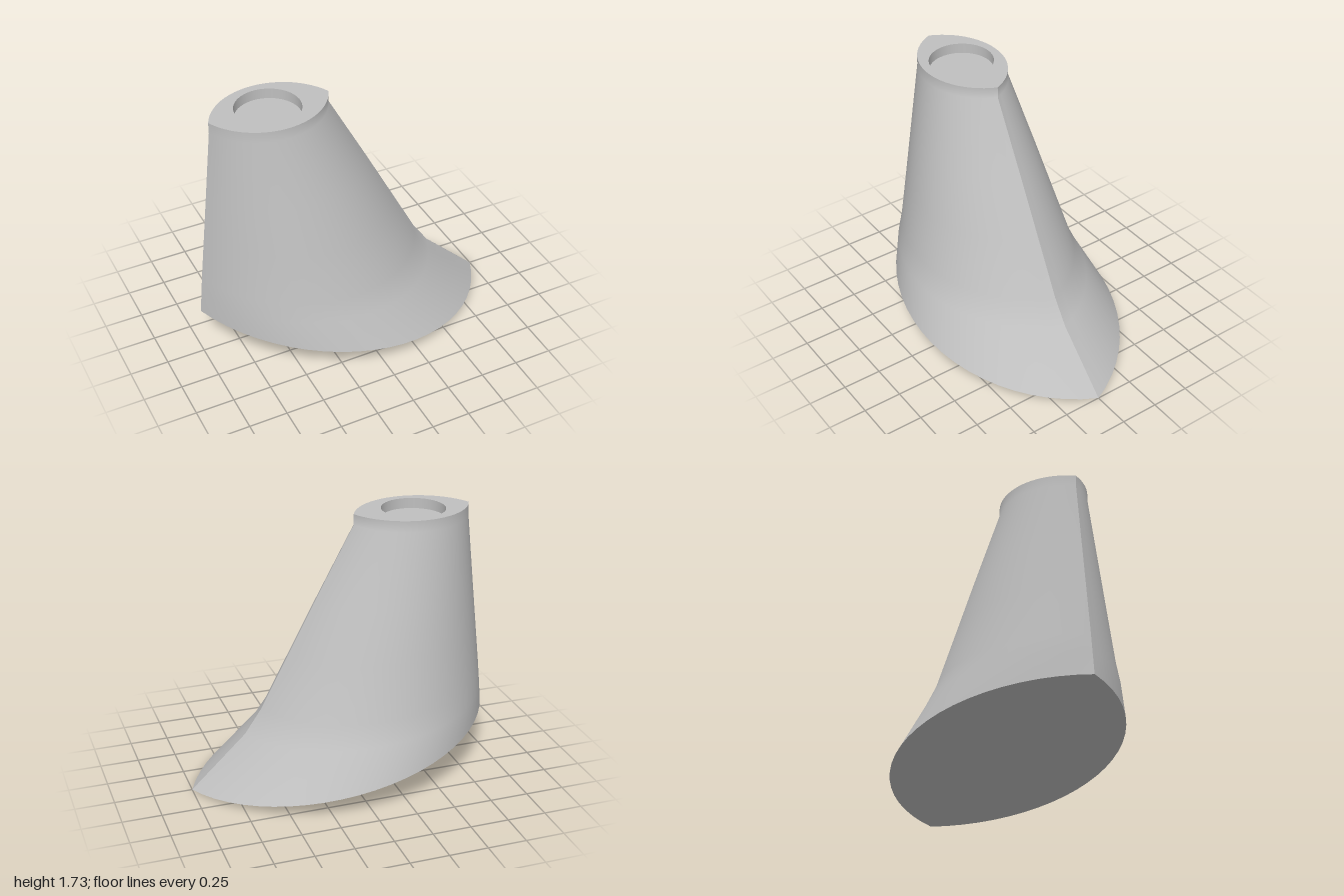
import * as THREE from 'three';

const SEGMENTS = 24;

// Sections from foot to rim: left end x, y, right end x, y, half depth
const SECTIONS = [
  [-1.0, 0.34, 1.0, 0.0, 0.67],
  [-0.985, 0.49, 0.64, 0.34, 0.572],
  [-0.975, 0.6, 0.53, 0.5, 0.52],
  [-0.94, 0.92, 0.35, 0.84, 0.442],
  [-0.905, 1.24, 0.17, 1.18, 0.365],
  [-0.86, 1.66, -0.09, 1.66, 0.257],
  [-0.86, 1.73, -0.09, 1.73, 0.255],
];

// One side of a pointed lens: a circular arc from the left end to the right end
function arcPoints([x0, y0, x1, y1, depth], side) {
  const half = (x1 - x0) / 2;
  const radius = (half * half + depth * depth) / (2 * depth);
  const spread = Math.asin(half / radius);
  return Array.from({ length: SEGMENTS + 1 }, (_, i) => {
    const angle = side * spread * ((2 * i) / SEGMENTS - 1);
    const along = (Math.sin(angle) * radius) / half;
    const z = Math.max(0, radius * Math.cos(angle) - radius + depth);
    return new THREE.Vector3(
      (x0 + x1) / 2 + along * half,
      (y0 + y1) / 2 + (along * (y1 - y0)) / 2,
      side * z
    );
  });
}

// Smooth skin over one side, so the two pointed edges stay sharp
function sideGeometry(side) {
  const points = SECTIONS.flatMap((section) => arcPoints(section, side));
  const index = [];
  const row = SEGMENTS + 1;
  for (let j = 0; j < SECTIONS.length - 1; j++) {
    for (let i = 0; i < SEGMENTS; i++) {
      const a = j * row + i;
      index.push(a, a + 1, a + row + 1, a, a + row + 1, a + row);
    }
  }
  const geometry = new THREE.BufferGeometry().setFromPoints(points);
  geometry.setIndex(index);
  geometry.computeVertexNormals();
  return geometry;
}

// Flat lens outline of a section
function lensShape(section) {
  const front = arcPoints(section, 1);
  const back = arcPoints(section, -1);
  return new THREE.Shape(
    [...front.slice(0, -1), ...back.slice(0, -1)].map((p) => new THREE.Vector2(p.x, p.z))
  );
}

export function createModel() {
  const model = new THREE.Group();
  const grey = new THREE.MeshStandardMaterial({ color: 0xbfbfbf, side: THREE.DoubleSide });
  grey.name = 'grey';
  const add = (name, geometry) => {
    const mesh = new THREE.Mesh(geometry, grey);
    mesh.name = name;
    model.add(mesh);
    return mesh;
  };

  // Tapered body
  add('frontSkin', sideGeometry(1));
  add('backSkin', sideGeometry(-1));

  // Sloping underside
  const base = new THREE.ShapeGeometry(lensShape(SECTIONS[0])).rotateX(Math.PI / 2);
  const pos = base.attributes.position;
  for (let i = 0; i < pos.count; i++) pos.setY(i, 0.17 - 0.17 * pos.getX(i));
  base.computeVertexNormals();
  add('underside', base);

  // Top rim with a round socket
  const socketX = -0.485, socketRadius = 0.203, rimY = 1.73, socketDepth = 0.067;
  const rim = lensShape(SECTIONS[SECTIONS.length - 1]);
  rim.holes.push(new THREE.Path().absarc(socketX, 0, socketRadius, 0, Math.PI * 2, true));
  add('topRim', new THREE.ShapeGeometry(rim, 24).rotateX(-Math.PI / 2)).position.y = rimY;

  const wall = new THREE.CylinderGeometry(socketRadius, socketRadius, socketDepth, 48, 1, true);
  add('socketWall', wall).position.set(socketX, rimY - socketDepth / 2, 0);
  const floor = new THREE.CircleGeometry(socketRadius, 48).rotateX(-Math.PI / 2);
  add('socketFloor', floor).position.set(socketX, rimY - socketDepth, 0);

  return model;
}
